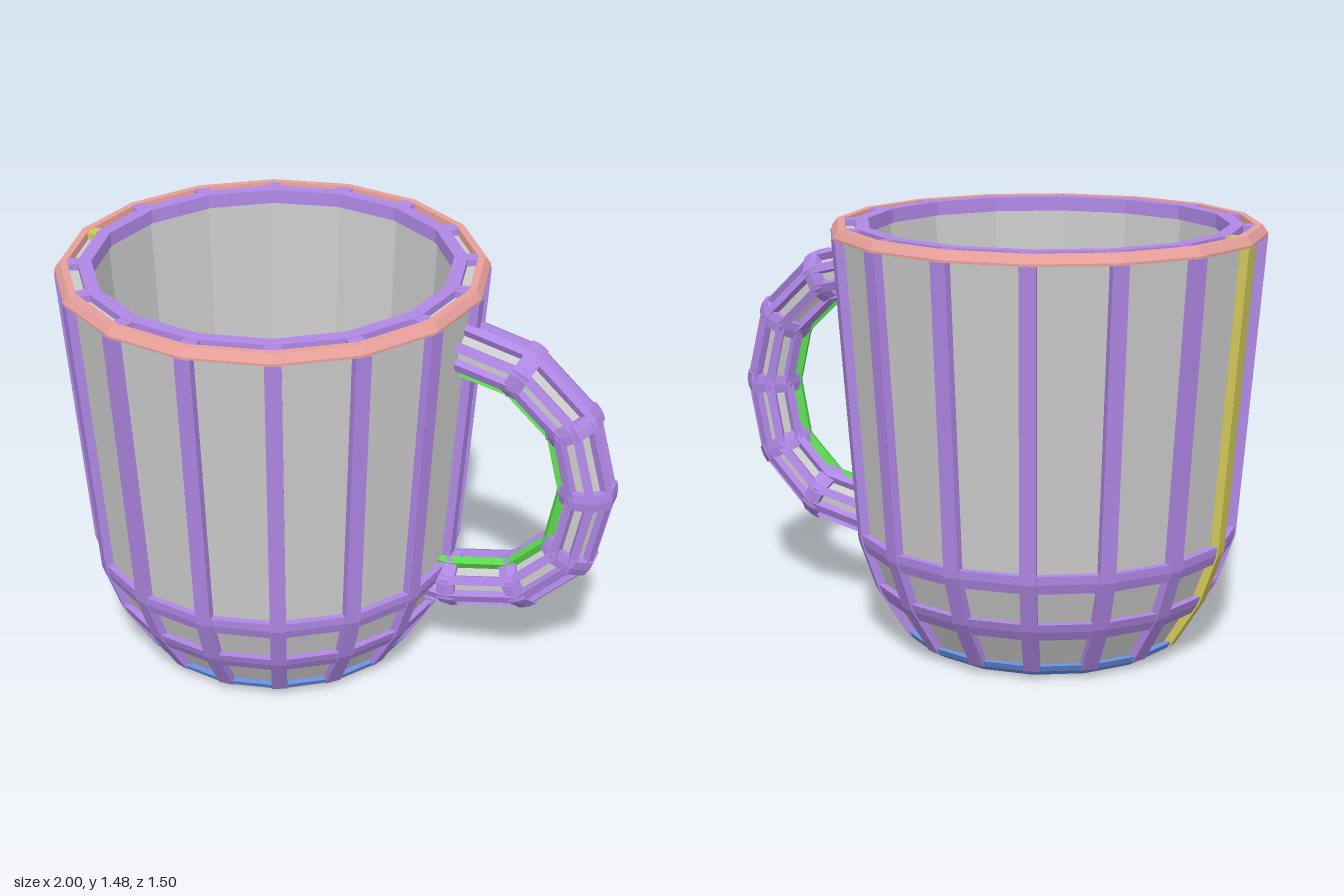
import * as THREE from 'three';

const SIDES = 16, CX = -0.25, RIB = 0.055;
const mat = (color) => new THREE.MeshStandardMaterial({ color, flatShading: true });
const V2 = (p) => new THREE.Vector2(p[0], p[1]);

// Outer profile of the ribs as [radius, height]
const PROFILE = [[0.45, 0], [0.5, 0.03], [0.61, 0.21], [0.672, 0.39], [0.75, 1.45]];
function radiusAt(y) {
  let i = 0;
  while (i < PROFILE.length - 2 && y > PROFILE[i + 1][1]) i++;
  const [r0, y0] = PROFILE[i], [r1, y1] = PROFILE[i + 1];
  return r0 + (r1 - r0) * (y - y0) / (y1 - y0);
}

// Joins closed cross-sections into a solid; loops back to the start when closed
function loft(rows, closed = false) {
  const n = rows[0].length, m = rows.length, pos = [], idx = [];
  rows.forEach((row) => row.forEach((p) => pos.push(p.x, p.y, p.z)));
  for (let i = 0; i < (closed ? m : m - 1); i++) {
    for (let j = 0; j < n; j++) {
      const a = i * n + j, b = i * n + (j + 1) % n;
      const c = ((i + 1) % m) * n + j, d = ((i + 1) % m) * n + (j + 1) % n;
      idx.push(a, b, d, a, d, c);
    }
  }
  if (!closed) {
    const e = (m - 1) * n;
    for (let j = 1; j < n - 1; j++) idx.push(0, j + 1, j, e, e + j, e + j + 1);
  }
  // Turn the faces outward if the enclosed volume comes out negative
  const all = rows.flat();
  let volume = 0;
  for (let i = 0; i < idx.length; i += 3) {
    volume += all[idx[i]].dot(all[idx[i + 1]].clone().cross(all[idx[i + 2]]));
  }
  if (volume < 0) idx.reverse();
  const g = new THREE.BufferGeometry();
  g.setAttribute('position', new THREE.Float32BufferAttribute(pos, 3));
  g.setIndex(idx);
  g.computeVertexNormals();
  return g;
}

export function createModel() {
  const model = new THREE.Group();
  const grey = mat(0xcccccc), purple = mat(0xb088e6), pink = mat(0xe8a09a);
  const blue = mat(0x6c92e6), yellow = mat(0xd4c95a), green = mat(0x5cdc50);

  const cup = new THREE.Group();
  cup.name = 'cup';
  cup.position.x = CX;
  model.add(cup);
  const add = (parent, name, geometry, material) => {
    const mesh = new THREE.Mesh(geometry, material);
    mesh.name = name;
    parent.add(mesh);
    return mesh;
  };
  const ring = (name, pts, material) =>
    add(cup, name, new THREE.LatheGeometry([...pts, pts[0]].map(V2), SIDES), material);

  // Grey wall: recessed outer panels, top, inner wall and floor
  add(cup, 'wall', new THREE.LatheGeometry([
    [0, 0.012], [0.44, 0.012], [0.475, 0.03], [0.585, 0.215], [0.647, 0.39], [0.724, 1.455],
    [0.632, 1.455], [0.575, 0.41], [0.53, 0.24], [0.42, 0.11], [0, 0.11],
  ].map(V2), SIDES), grey);

  // Horizontal bands
  for (const y of [0.205, 0.39]) {
    const lo = y - 0.034, hi = y + 0.03;
    ring('band', [
      [radiusAt(lo) - 0.05, lo], [radiusAt(lo), lo], [radiusAt(y), y],
      [radiusAt(hi), hi], [radiusAt(hi) - 0.05, hi],
    ], purple);
  }
  ring('baseRing', [[0.42, 0], [0.45, 0], [0.5, 0.03], [0.512, 0.052], [0.46, 0.052], [0.42, 0.03]], blue);
  ring('rimRing', [[0.7, 1.445], [0.75, 1.445], [0.75, 1.453], [0.73, 1.48], [0.705, 1.48]], pink);
  ring('innerRimRing', [[0.62, 1.43], [0.67, 1.43], [0.67, 1.48], [0.622, 1.48]], purple);

  // Upright ribs and the short spokes across the rim
  const outer = [0.03, 0.21, 0.39, 1.445].map((y) => [radiusAt(y), y]);
  const inner = outer.map(([r, y]) => [r - 0.045, y]).reverse();
  const ribGeo = new THREE.ExtrudeGeometry(
    new THREE.Shape([...outer, ...inner].map(V2)), { depth: RIB, bevelEnabled: false });
  ribGeo.translate(0, 0, -RIB / 2);
  const spokeGeo = new THREE.BoxGeometry(0.055, 0.04, RIB).translate(0.685, 1.458, 0);
  for (let i = 0; i < SIDES; i++) {
    const material = i === SIDES / 2 ? yellow : purple;
    add(cup, 'rib', ribGeo, material).rotation.y = i * 2 * Math.PI / SIDES;
    add(cup, 'rimSpoke', spokeGeo, material).rotation.y = i * 2 * Math.PI / SIDES;
  }

  // Handle path, with a frame at each joint
  const handle = new THREE.Group();
  handle.name = 'handle';
  model.add(handle);
  const path = [[0.4, 1.28], [0.655, 1.215], [0.838, 1.045], [0.9, 0.8],
    [0.85, 0.555], [0.68, 0.392], [0.43, 0.342], [0.22, 0.37]]
    .map(([x, y]) => new THREE.Vector3(x, y, 0));
  const Z = new THREE.Vector3(0, 0, 1);
  const frames = path.map((c, i) => {
    const before = c.clone().sub(path[Math.max(i - 1, 0)]).normalize();
    const after = path[Math.min(i + 1, path.length - 1)].clone().sub(c).normalize();
    const t = before.add(after).normalize();
    return { c, t, n: new THREE.Vector3(-t.y, t.x, 0) };
  });
  const at = ({ c, t, n }, angle, r, along = 0) => c.clone()
    .addScaledVector(n, r * Math.cos(angle)).addScaledVector(Z, r * Math.sin(angle))
    .addScaledVector(t, along);
  const angles = Array.from({ length: 8 }, (_, k) => (k + 0.5) * Math.PI / 4);

  // Grey core of the handle
  add(handle, 'handleCore', loft(frames.map((f) => angles.map((a) => at(f, a, 0.078)))), grey);

  // Lengthwise bars; one on the inside of the grip is green
  angles.forEach((a, k) => {
    const w = 0.16;
    const rows = frames.map((f) => [
      at(f, a - w, 0.102), at(f, a + w, 0.102), at(f, a + w * 1.3, 0.068), at(f, a - w * 1.3, 0.068)]);
    // The path normal points away from the opening, so the inside lies near angle PI
    add(handle, 'handleBar', loft(rows), k === 3 ? green : purple);
  });

  // Bands round the handle at its joints
  frames.slice(1).forEach((f, i) => {
    const end = i === frames.length - 2;
    const lo = end ? -0.04 : -0.032, hi = end ? 0 : 0.032;
    const rows = angles.map((a) => [
      at(f, a, 0.068, lo), at(f, a, 0.102, lo),
      ...(end ? [] : [at(f, a, 0.106)]),
      at(f, a, 0.102, hi), at(f, a, 0.068, hi)]);
    add(handle, 'handleBand', loft(rows, true), purple);
  });

  return model;
}
